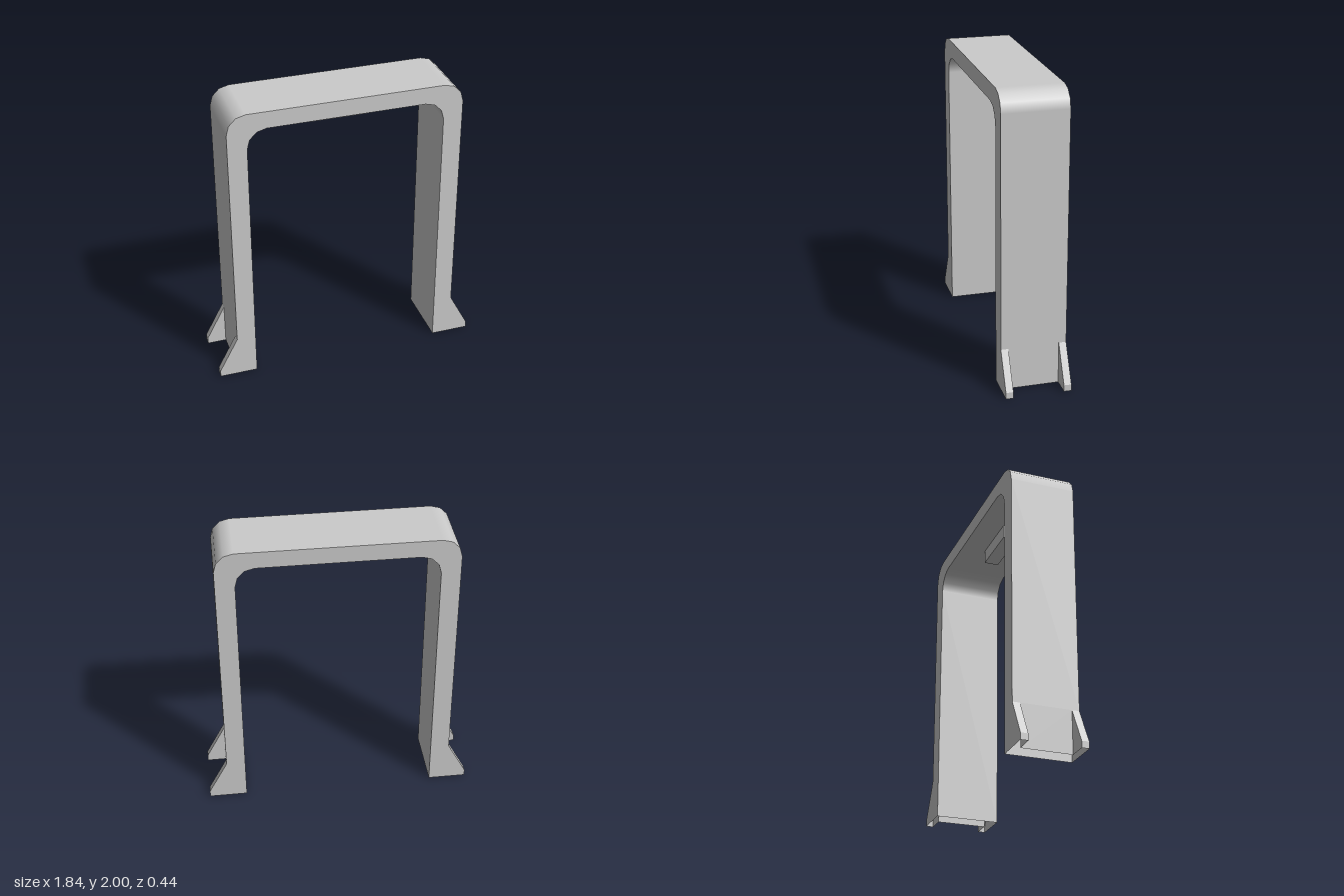
import * as THREE from 'three';

const W = 0.79, INNER = 0.66, TOP = 2, UNDER = 1.885, R = 0.13;
const D = 0.22, RIB = 0.17;              // half depth, inner face of the foot ribs
const RIB_X = 0.92, RIB_TOP = 0.29, LIP = 0.045;

const material = new THREE.MeshStandardMaterial({ color: 0xcccccc, side: THREE.DoubleSide });

// Upside-down U from +x over the top to -x; each entry is [x, y, normalX, normalY]
function archPath(halfWidth, top, footY) {
  const path = [[halfWidth, footY, 1, 0]];
  for (const side of [0, 1]) {
    const cx = (side ? -1 : 1) * (halfWidth - R);
    for (let i = 0; i <= 3; i++) {
      const a = (side + i / 3) * Math.PI / 2;
      path.push([cx + R * Math.cos(a), top - R + R * Math.sin(a), Math.cos(a), Math.sin(a)]);
    }
  }
  path.push([-halfWidth, footY, -1, 0]);
  return path;
}

// Sweep a path across the depth, smooth only through its rounded corners
function strip(path, halfDepth) {
  const pos = [], nor = [], idx = [];
  path.forEach(([x, y, nx, ny], i) => {
    pos.push(x, y, halfDepth, x, y, -halfDepth);
    nor.push(nx, ny, 0, nx, ny, 0);
    const a = 2 * i;
    if (i < path.length - 1) idx.push(a, a + 1, a + 2, a + 1, a + 3, a + 2);
  });
  const g = new THREE.BufferGeometry();
  g.setAttribute('position', new THREE.Float32BufferAttribute(pos, 3));
  g.setAttribute('normal', new THREE.Float32BufferAttribute(nor, 3));
  g.setIndex(idx);
  return g;
}

// Flat convex faces, each a list of corners; flip reverses them for mirrored parts
function faces(list, flip) {
  const pos = [];
  for (const f of list) {
    const c = flip ? [...f].reverse() : f;
    for (let i = 1; i < c.length - 1; i++) pos.push(...c[0], ...c[i], ...c[i + 1]);
  }
  const g = new THREE.BufferGeometry();
  g.setAttribute('position', new THREE.Float32BufferAttribute(pos, 3));
  g.computeVertexNormals();
  return g;
}

export function createModel() {
  const group = new THREE.Group();
  const add = (name, geometry) => {
    const mesh = new THREE.Mesh(geometry, material);
    mesh.name = name;
    group.add(mesh);
    return mesh;
  };

  const outer = archPath(W, TOP, RIB_TOP);
  const inner = archPath(INNER, UNDER, 0).reverse().map(([x, y, nx, ny]) => [x, y, -nx, -ny]);

  // Front and back plates, including the flared feet
  const outline = [[RIB_X, 0], [RIB_X, LIP], ...outer, [-RIB_X, LIP], [-RIB_X, 0], ...inner];
  const plate = new THREE.ShapeGeometry(
    new THREE.Shape(outline.map(([x, y]) => new THREE.Vector2(x, y))));
  add('frontPlate', plate).position.z = D;
  const back = add('backPlate', plate);
  back.position.z = -D;
  back.rotation.y = Math.PI;

  // Outer and inner walls, open at the bottom
  add('outerWall', strip(outer, D));
  add('innerWall', strip(inner, D));

  for (const sx of [1, -1]) {
    const side = sx > 0 ? 'left' : 'right';

    // Leg wall between the two ribs
    const w = sx * W;
    add(side + 'LowerWall', faces([
      [[w, 0, RIB], [w, 0, -RIB], [w, RIB_TOP, -RIB], [w, RIB_TOP, RIB]],
    ], sx < 0));

    // Foot ribs: slope, lip and the face turned to the middle
    for (const sz of [1, -1]) {
      const e = sx * RIB_X, o = sz * D, n = sz * RIB;
      add(side + (sz > 0 ? 'Front' : 'Back') + 'Rib', faces([
        [[w, RIB_TOP, o], [e, LIP, o], [e, LIP, n], [w, RIB_TOP, n]],
        [[e, LIP, o], [e, 0, o], [e, 0, n], [e, LIP, n]],
        [[w, 0, n], [w, RIB_TOP, n], [e, LIP, n], [e, 0, n]],
      ], sx * sz < 0));
    }
  }

  // Small block under the beam
  add('undersideBlock', new THREE.BoxGeometry(0.39, 0.095, 0.1)).position.y = UNDER - 0.0475;

  return group;
}
